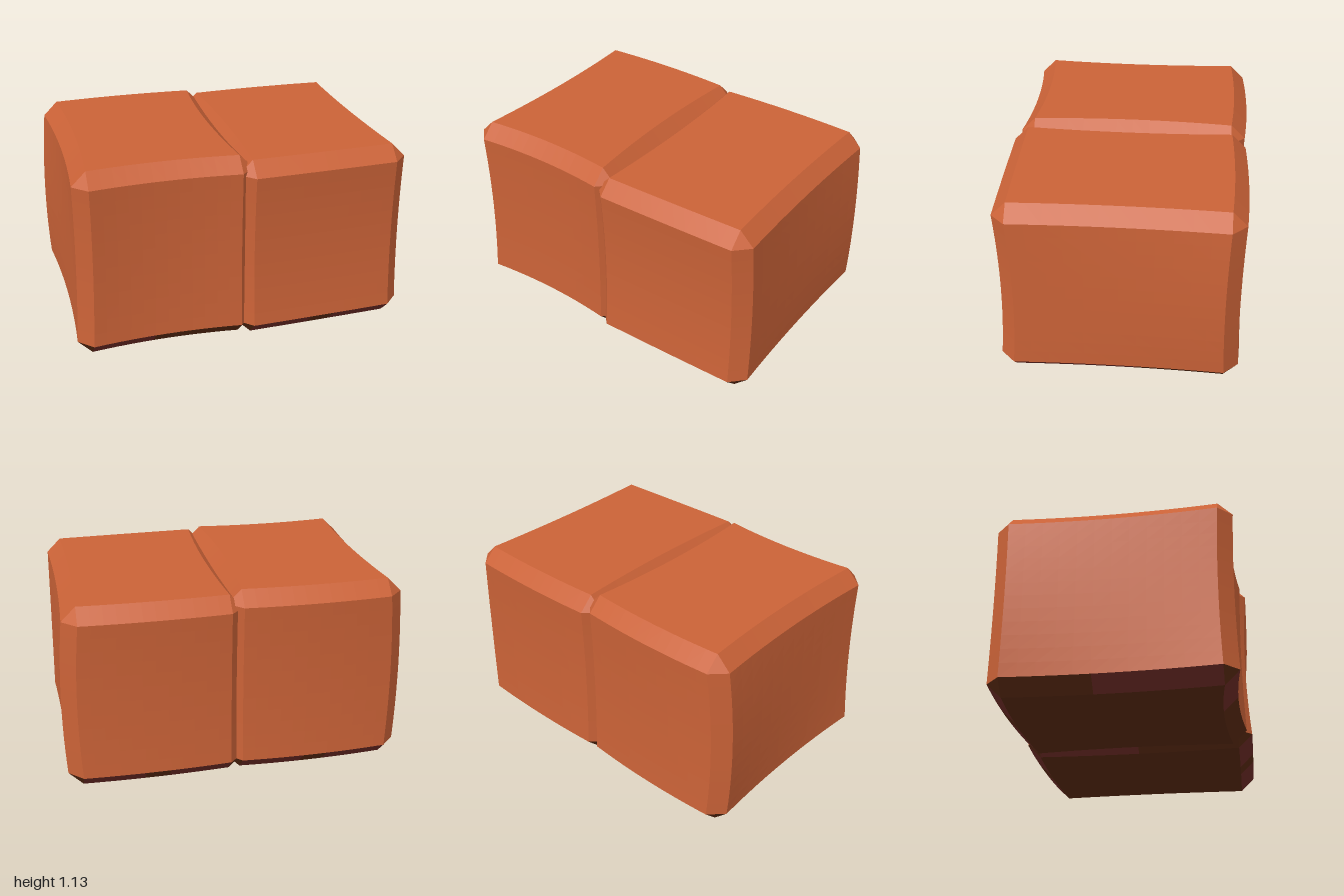
import * as THREE from 'three';

const BEVEL = 0.083;
const STEPS = 12;
const AXES = ['x', 'y', 'z'];
const CLAY = 0, MAROON = 1, BROWN = 2;

// Each side is [position at its corners, bow along A, bow along B, tilt along A, change of bow A along B].
// For the x sides A, B = y, z; for the z sides A, B = x, y.
// brown: stretch (-1..1) of each lower bevel that is brown, the rest being maroon.
const BLOCKS = [
  {
    name: 'rightBlock', height: 1.135,
    x0: [-0.98, -0.006, 0.025, 0.01, 0.016], x1: [0.055, 0, -0.03, 0, 0],
    z0: [-0.685, -0.018, 0.012, 0, 0], z1: [0.672, -0.028, -0.012, 0, 0],
    brown: { x0: [-1, -0.16], x1: [0, 1], z0: [-0.17, 0.17], z1: [-0.17, 1] },
  },
  {
    name: 'leftBlock', height: 1.11,
    x0: [-0.042, 0, 0.022, 0, 0], x1: [0.982, 0.01, -0.015, -0.007, -0.01],
    z0: [-0.69, -0.013, 0.012, 0, 0], z1: [0.692, 0.002, -0.022, -0.01, 0],
    brown: { x0: [0, 1], x1: [-1, -0.16], z0: [-0.17, 0.17], z1: [-0.17, 0.17] },
  },
];

const offset = ([pos, bowA, bowB, tilt, twist], a, b) =>
  pos + (bowA + twist * b) * (1 - a * a) + bowB * (1 - b * b) + tilt * a;

// Bevelled block whose four upright sides bulge or sink
function blockGeometry(block) {
  const buckets = [[], [], []];

  // p: place in the cube -1..1, n: axis of the face that owns the point
  const place = (p, n) => {
    const [a, b, c] = p;
    const span = (lo, hi, t, owns) => {
      const inset = owns ? 0 : BEVEL;
      return THREE.MathUtils.lerp(lo + inset, hi - inset, (t + 1) / 2);
    };
    return new THREE.Vector3(
      span(offset(block.x0, b, c), offset(block.x1, b, c), a, n === 0),
      span(0, block.height, b, n === 1),
      span(offset(block.z0, a, b), offset(block.z1, a, b), c, n === 2),
    );
  };

  // Add a triangle turned to face the given outward direction
  const tri = (a, b, c, outward, colour) => {
    const normal = b.clone().sub(a).cross(c.clone().sub(a));
    const corners = normal.dot(outward) > 0 ? [a, b, c] : [a, c, b];
    for (const v of corners) buckets[colour].push(v.x, v.y, v.z);
  };
  const quad = (a, b, c, d, outward, colour) => {
    tri(a, b, c, outward, colour);
    tri(a, c, d, outward, colour);
  };
  const point = (i, vi, j, vj, k, vk) => {
    const p = [0, 0, 0];
    p[i] = vi; p[j] = vj; p[k] = vk;
    return p;
  };
  const at = (s) => -1 + 2 * s / STEPS;

  // Colour of a bevel at place t, given its outward direction
  const bevelColour = (dir, t) => {
    if (dir[1] >= 0) return CLAY;
    const side = dir[0] ? 0 : 2;
    const [lo, hi] = block.brown[AXES[side] + (dir[side] > 0 ? 1 : 0)];
    return t > lo && t < hi ? BROWN : MAROON;
  };

  for (let i = 0; i < 3; i++) {
    const j = (i + 1) % 3, k = (i + 2) % 3;
    // Faces
    for (const s of [-1, 1]) {
      const outward = new THREE.Vector3(...point(i, s, j, 0, k, 0));
      const colour = outward.y < 0 ? BROWN : CLAY;
      const v = (m, n) => place(point(i, s, j, at(m), k, at(n)), i);
      for (let m = 0; m < STEPS; m++)
        for (let n = 0; n < STEPS; n++)
          quad(v(m, n), v(m + 1, n), v(m + 1, n + 1), v(m, n + 1), outward, colour);
    }
    // Bevels running along axis i
    for (const sj of [-1, 1]) for (const sk of [-1, 1]) {
      const dir = point(i, 0, j, sj, k, sk);
      const outward = new THREE.Vector3(...dir);
      const v = (m, owner) => place(point(i, at(m), j, sj, k, sk), owner);
      for (let m = 0; m < STEPS; m++)
        quad(v(m, j), v(m + 1, j), v(m + 1, k), v(m, k), outward, bevelColour(dir, at(m + 0.5)));
    }
  }
  // Corner triangles
  for (const x of [-1, 1]) for (const y of [-1, 1]) for (const z of [-1, 1]) {
    const p = [x, y, z];
    tri(place(p, 0), place(p, 1), place(p, 2), new THREE.Vector3(x, y, z), y < 0 ? BROWN : CLAY);
  }

  const geometry = new THREE.BufferGeometry();
  geometry.setAttribute('position', new THREE.Float32BufferAttribute(buckets.flat(), 3));
  let start = 0;
  buckets.forEach((bucket, colour) => {
    geometry.addGroup(start, bucket.length / 3, colour);
    start += bucket.length / 3;
  });
  geometry.computeVertexNormals();
  return geometry;
}

function material(name, color) {
  const m = new THREE.MeshStandardMaterial({ color, flatShading: true });
  m.name = name;
  return m;
}

export function createModel() {
  const model = new THREE.Group();
  model.name = 'brickPair';
  const materials = [
    material('terracotta', 0xca6237),
    material('maroon', 0x6e2c26),
    material('darkBrown', 0x5a2a12),
  ];
  for (const block of BLOCKS) {
    const mesh = new THREE.Mesh(blockGeometry(block), materials);
    mesh.name = block.name;
    model.add(mesh);
  }
  return model;
}
